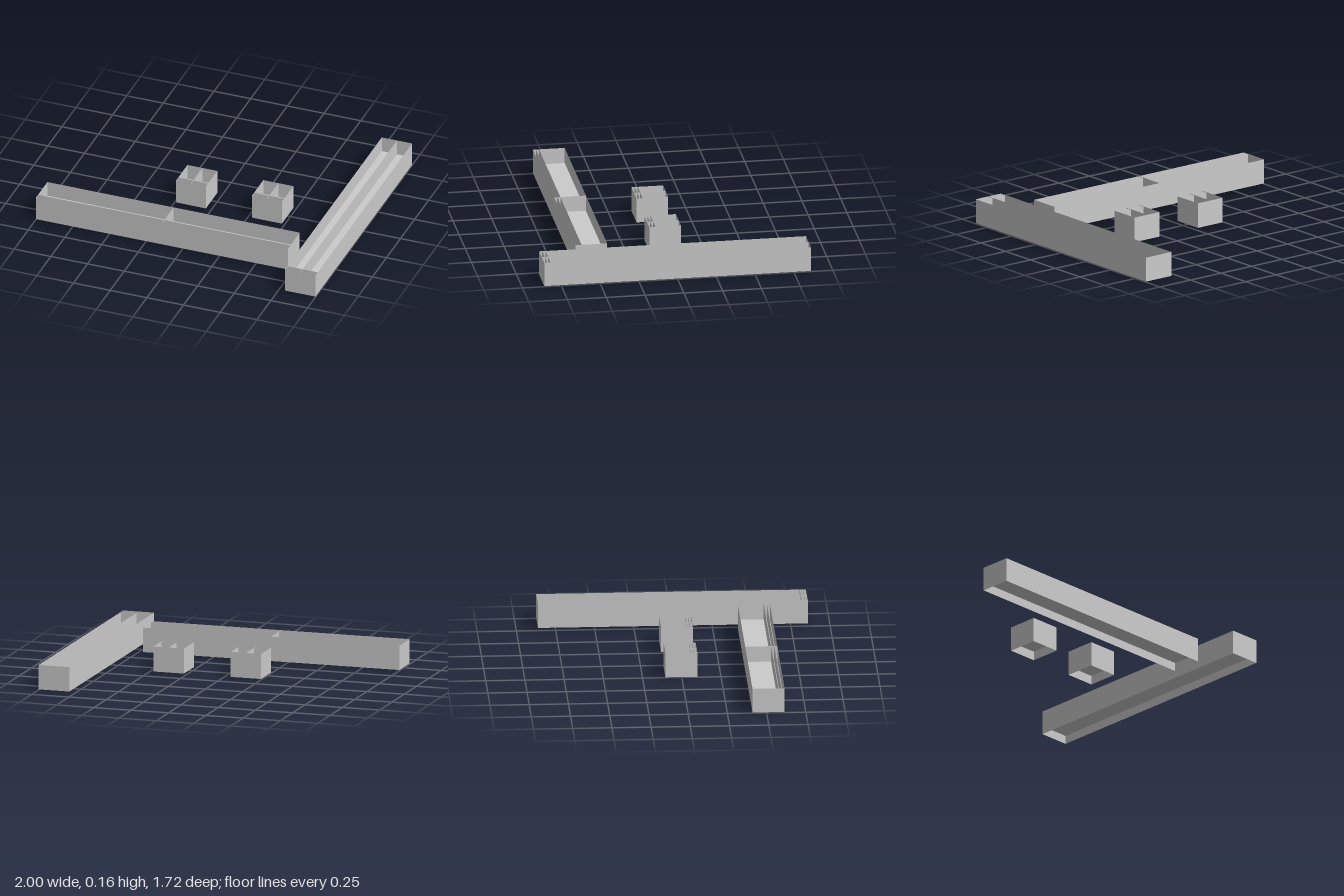
import * as THREE from 'three';

const material = new THREE.MeshStandardMaterial({ color: 0xcccccc, side: THREE.DoubleSide });
const TOP = 0.163;
const FLOOR = 0.06; // raised floor, open recess underneath

function addPanel(group, name, w, h, position, axis) {
  const geometry = new THREE.PlaneGeometry(w, h);
  if (axis === 'x') geometry.rotateY(Math.PI / 2);
  if (axis === 'y') geometry.rotateX(-Math.PI / 2);
  const mesh = new THREE.Mesh(geometry, material);
  mesh.name = name;
  mesh.position.set(...position);
  group.add(mesh);
}

// Thin-walled open trough with raised floor, centre divider and two front slats
function makeTrough(name, x0, x1, z0, z1, bottom) {
  const group = new THREE.Group();
  group.name = name;
  const w = x1 - x0, d = z1 - z0, h = TOP - bottom;
  const x = (x0 + x1) / 2, z = (z0 + z1) / 2, y = bottom + h / 2;
  const innerH = TOP - FLOOR, innerY = (TOP + FLOOR) / 2;

  // Outer walls
  addPanel(group, 'frontWall', w, h, [x, y, z1], 'z');
  addPanel(group, 'backWall', w, h, [x, y, z0], 'z');
  addPanel(group, 'leftWall', d, h, [x1, y, z], 'x');
  addPanel(group, 'rightWall', d, h, [x0, y, z], 'x');

  // Interior
  addPanel(group, 'floor', w, d, [x, FLOOR, z], 'y');
  addPanel(group, 'divider', d, innerH, [x, innerY, z], 'x');
  for (const inset of [0.02, 0.04]) {
    addPanel(group, 'frontSlat', w, innerH, [x, innerY, z1 - inset], 'z');
  }
  return group;
}

export function createModel() {
  const model = new THREE.Group();
  model.name = 'troughSet';
  model.add(
    makeTrough('wideTrough', -1, 0.72, 0.41, 0.615, 0.004),
    makeTrough('deepTrough', 0.793, 1, -0.86, 0.86, 0.004),
    makeTrough('smallTroughRight', -0.242, -0.038, -0.104, 0.1, 0),
    makeTrough('smallTroughLeft', 0.275, 0.48, -0.104, 0.1, 0)
  );
  return model;
}
